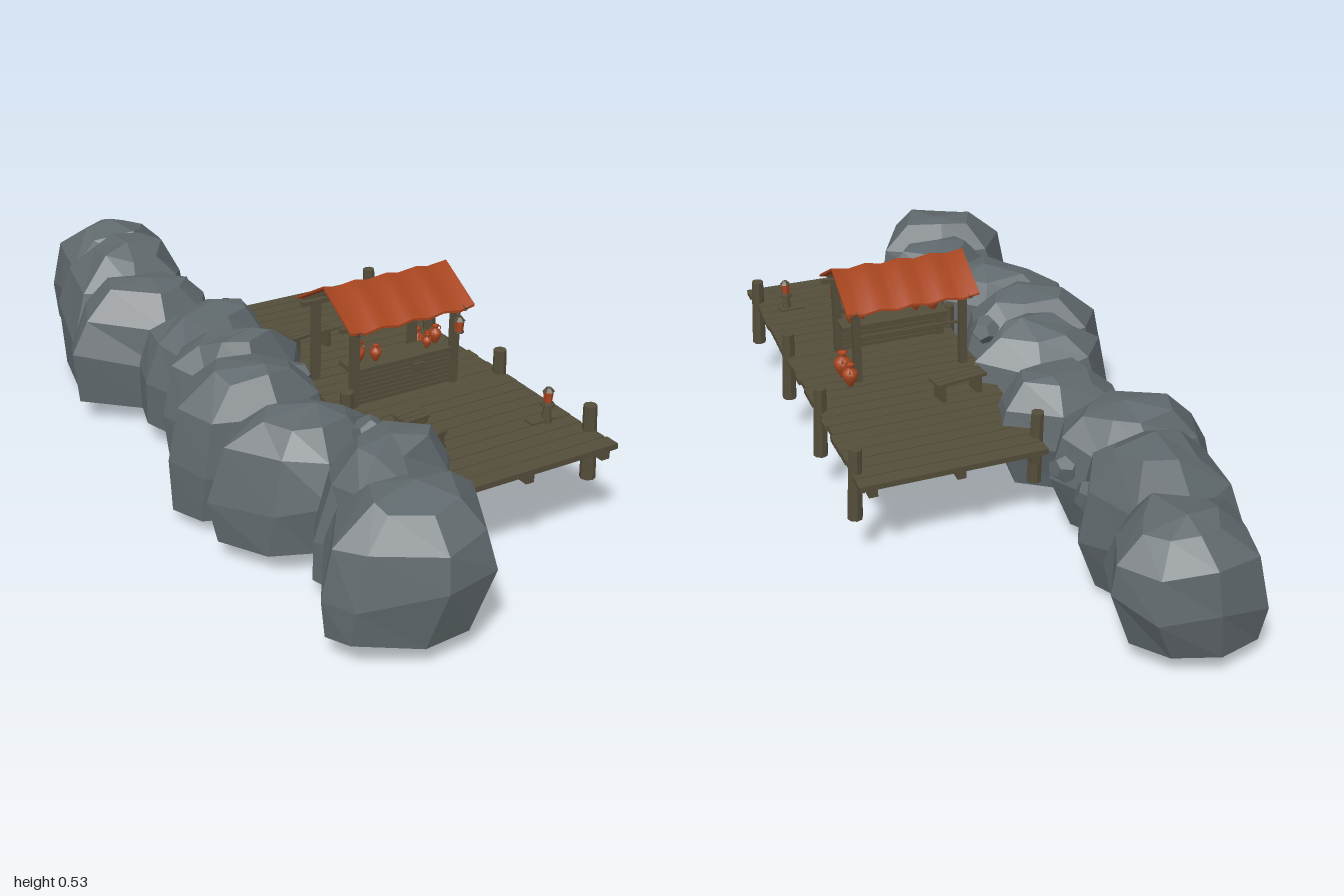
import * as THREE from 'three';

const mat = (name, color) => Object.assign(new THREE.MeshStandardMaterial({ color }), { name });

export function createModel() {
  const root = new THREE.Group();
  root.name = 'rockyDock';
  const stone = mat('stone', 0x5f686c);
  const wood = mat('wood', 0x544d3a);
  const clay = mat('terracotta', 0xa8451f);

  let seed = 7;
  const rnd = () => ((seed = (seed * 16807) % 2147483647) / 2147483647) * 2 - 1;
  const group = (name, parent = root) => {
    const g = new THREE.Group();
    g.name = name;
    parent.add(g);
    return g;
  };
  const add = (parent, name, geo, material, x = 0, y = 0, z = 0) => {
    const m = new THREE.Mesh(geo, material);
    m.name = name;
    m.position.set(x, y, z);
    parent.add(m);
    return m;
  };
  const flat = (geo) => {
    const g = geo.index ? geo.toNonIndexed() : geo;
    g.computeVertexNormals();
    return g;
  };
  const box = (parent, name, w, h, d, x, y, z, m = wood) =>
    add(parent, name, new THREE.BoxGeometry(w, h, d), m, x, y, z);
  const beam = (parent, name, a, b, w) => {
    const p = new THREE.Vector3(...a), q = new THREE.Vector3(...b);
    const m = box(parent, name, w, w, p.distanceTo(q), 0, 0, 0);
    m.position.copy(p).add(q).multiplyScalar(0.5);
    m.lookAt(q);
    return m;
  };

  // Boulders: a plan outline (hundredths) lofted through uneven rings that lean towards the deck
  // Each ring: height, scale, height jitter, x shift
  const rings = [[0.05, 0.83, 0.03, -0.025], [0.42, 1, 0.09, 0], [0.74, 0.86, 0.05, 0.008], [0.94, 0.48, 0.04, 0.015]];
  const boulder = (outline, y0, y1) => {
    const n = outline.length, top = rings.length - 1;
    const cx = outline.reduce((s, p) => s + p[0], 0) / n / 100;
    const cz = outline.reduce((s, p) => s + p[1], 0) / n / 100;
    const h = y1 - y0, pos = [], idx = [];
    for (const [t, s, dy, dx] of rings) {
      for (const [px, pz] of outline) {
        const k = s === 1 ? 1 : s + 0.06 * rnd();
        pos.push(cx + dx + (px / 100 - cx) * k, y0 + h * (t + dy * rnd()), cz + (pz / 100 - cz) * k);
      }
    }
    pos.push(cx - 0.02, y0, cz, cx + 0.02 + 0.03 * rnd(), y1, cz + 0.04 * rnd());
    for (let j = 0; j < n; j++) {
      const k = (j + 1) % n;
      for (let r = 0; r < top; r++) {
        const a = r * n + j, b = r * n + k;
        idx.push(a, a + n, b + n, a, b + n, b);
      }
      idx.push((top + 1) * n, j, k, (top + 1) * n + 1, top * n + k, top * n + j);
    }
    const g = new THREE.BufferGeometry();
    g.setAttribute('position', new THREE.Float32BufferAttribute(pos, 3));
    g.setIndex(idx);
    return flat(g);
  };
  const rocks = group('rocks');
  const rock = (y0, y1, ...outline) => add(rocks, 'boulder', boulder(outline, y0, y1), stone);
  rock(0.05, 0.37, [-29, -86], [-27, -97], [-14, -100], [-1, -97], [5, -87], [1, -75], [-8, -67], [-31, -73]);
  rock(0.0, 0.40, [-34, -74], [-21, -78], [-7, -74], [0, -60], [-6, -48], [-23, -43], [-38, -53]);
  rock(0.04, 0.37, [-44, -38], [-39, -52], [-23, -54], [-10, -51], [-2, -39], [-8, -28], [-23, -24]);
  rock(0.05, 0.355, [-32, -18], [-29, -29], [-10, -31], [4, -22], [2, -11], [-10, -5], [-28, -6]);
  rock(0.04, 0.385, [-36, 1], [-29, -10], [-13, -11], [4, 2], [-2, 11], [-18, 16], [-31, 12]);
  rock(0.01, 0.385, [-43, 19], [-35, 7], [-15, 8], [-3, 20], [-6, 31], [-22, 36], [-39, 30]);
  rock(0.04, 0.365, [-43, 39], [-34, 30], [-13, 30], [-2, 42], [-7, 55], [-23, 60], [-33, 52]);
  rock(0.04, 0.365, [-30, 64], [-23, 53], [-7, 50], [8, 62], [3, 70], [-13, 76], [-26, 73]);
  rock(0.05, 0.36, [-40, 84], [-31, 70], [-16, 71], [2, 78], [-7, 98], [-20, 100], [-36, 91]);
  // Loose stones sunk into the boulders
  for (const [x, y, z, s] of [[-0.05, 0.22, -0.41, 0.04], [-0.05, 0.24, -0.57, 0.05], [-0.08, 0.3, 0.18, 0.04],
    [-0.1, 0.31, 0.53, 0.045], [-0.05, 0.19, 0.2, 0.05]]) {
    const m = add(rocks, 'looseStone', flat(new THREE.DodecahedronGeometry(s)), stone, x, y, z);
    m.rotation.set(rnd(), rnd(), rnd());
    m.scale.set(1, 0.8, 1);
  }

  // Deck planks over long beams
  const deck = group('deck');
  for (let i = 0; i < 27; i++) {
    const w = 0.462 + 0.006 * rnd();
    const p = box(deck, 'plank', w, 0.014, 0.0385 + 0.0015 * rnd(), 0.199 + 0.004 * rnd(), 0.24, -0.336 + i * 0.0412);
    p.rotation.y = 0.004 * rnd();
  }
  for (const x of [0.0, 0.185, 0.4]) box(deck, 'deckBeam', 0.022, 0.02, 1.11, x, 0.224, 0.2);

  // Mooring posts, the outer ones with stout diagonal braces
  const post = (x, z) => {
    const p = add(deck, 'mooringPost', flat(new THREE.CylinderGeometry(0.016, 0.019, 0.19, 8)), wood, x, 0.215, z);
    p.rotation.set(0.03 * rnd(), 0, 0.04);
  };
  for (const z of [-0.285, 0.015, 0.325, 0.67]) {
    post(0.423, z);
    beam(deck, 'brace', [0.413, 0.195, z], [0.385, 0.23, z], 0.02);
  }
  for (const z of [-0.285, 0.335]) post(-0.03, z);

  // Market stall frame
  const stall = group('stall');
  const zc = 0.213;
  for (const z of [0.125, 0.305]) {
    for (const x of [0.005, 0.29]) box(stall, 'stallPost', 0.02, 0.215, 0.018, x, 0.35, z);
    box(stall, 'eaveBeam', 0.36, 0.012, 0.014, 0.145, 0.453, z);
  }
  for (const x of [-0.005, 0.298])
    for (const s of [-1, 1]) beam(stall, 'rafter', [x, 0.513, zc], [x, 0.449, zc + s * 0.124], 0.01);
  box(stall, 'ridgeBeam', 0.34, 0.01, 0.01, 0.145, 0.51, zc);

  // Wavy pitched roof, smooth over the ridge
  const roof = new THREE.BoxGeometry(0.35, 0.006, 0.25, 16, 1, 2);
  const rp = roof.attributes.position;
  for (let i = 0; i < rp.count; i++) {
    const x = rp.getX(i), z = rp.getZ(i);
    const wave = 0.004 * Math.cos(((x + 0.175) / 0.0875) * Math.PI * 2);
    rp.setY(i, rp.getY(i) + 0.523 - Math.abs(z) * 0.57 + wave);
  }
  roof.computeVertexNormals();
  add(stall, 'roof', roof, clay, 0.147, 0, zc);

  // Counter with slatted front and a rail
  for (let i = 0; i < 7; i++) box(stall, 'counterSlat', 0.28, 0.0095, 0.008, 0.148, 0.253 + i * 0.0115, 0.303);
  box(stall, 'counterTop', 0.29, 0.012, 0.07, 0.148, 0.336, 0.275);
  box(stall, 'counterBracket', 0.03, 0.025, 0.012, 0.185, 0.31, 0.308);
  box(stall, 'rail', 0.27, 0.006, 0.006, 0.148, 0.368, 0.125);

  // Two-handled jars
  const profile = [[0, 0], [0.13, 0], [0.16, 0.06], [0.31, 0.35], [0.35, 0.55], [0.28, 0.7], [0.14, 0.8], [0.13, 0.92], [0.22, 1], [0.14, 1], [0, 0.93]];
  const jarGeo = new THREE.LatheGeometry(profile.map((p) => new THREE.Vector2(...p)), 12);
  const handleGeo = new THREE.TorusGeometry(0.13, 0.035, 5, 10);
  const jar = (x, y, z, h, turn = 0) => {
    const g = group('jar');
    add(g, 'jarBody', jarGeo, clay);
    for (const s of [-1, 1]) add(g, 'jarHandle', handleGeo, clay, s * 0.23, 0.78, 0);
    g.position.set(x, y, z);
    g.rotation.y = turn;
    g.scale.setScalar(h);
  };
  jar(0.035, 0.342, 0.27, 0.055);
  jar(0.08, 0.342, 0.28, 0.04);
  jar(0.228, 0.342, 0.28, 0.034);
  jar(0.262, 0.342, 0.265, 0.045);
  jar(0.318, 0.247, 0.165, 0.068, 1.3);
  jar(0.315, 0.247, 0.11, 0.06, 1.3);

  // Lanterns
  const lantern = (x, y, z) => {
    const g = group('lantern');
    add(g, 'lanternGlass', flat(new THREE.CylinderGeometry(0.0125, 0.01, 0.028, 6)), clay, 0, 0.017, 0);
    add(g, 'lanternBase', flat(new THREE.CylinderGeometry(0.012, 0.013, 0.004, 6)), wood, 0, 0.002, 0);
    add(g, 'lanternCap', flat(new THREE.CylinderGeometry(0.006, 0.015, 0.01, 6)), wood, 0, 0.036, 0);
    g.position.set(x, y, z);
  };
  lantern(0.287, 0.388, 0.328);
  beam(stall, 'lanternArm', [0.287, 0.433, 0.305], [0.287, 0.429, 0.332], 0.006);
  lantern(0.358, 0.295, 0.59);

  // Stool under the standing lantern, with a small tray beside it
  const stool = group('stool');
  add(stool, 'stoolSeat', flat(new THREE.CylinderGeometry(0.017, 0.017, 0.006, 8)), wood, 0.358, 0.292, 0.59);
  add(stool, 'stoolLeg', flat(new THREE.CylinderGeometry(0.008, 0.014, 0.043, 8)), wood, 0.358, 0.268, 0.59);
  box(stool, 'tray', 0.07, 0.005, 0.03, 0.345, 0.254, 0.585);

  // Benches near the rocks
  const bench = (x, z, w, angle) => {
    const g = group('bench');
    for (const s of [-1, 0, 1]) box(g, 'benchSlat', w, 0.008, 0.015, 0, 0.05, s * 0.017);
    for (const s of [-1, 1]) box(g, 'benchLeg', 0.012, 0.048, 0.045, s * w * 0.36, 0.024, 0);
    g.position.set(x, 0.246, z);
    g.rotation.y = angle;
  };
  bench(0.075, -0.03, 0.14, 0.15);
  bench(0.045, 0.49, 0.07, 0.1);

  // Crate
  const crate = group('crate');
  box(crate, 'crateBody', 0.045, 0.05, 0.05, 0, 0.025, 0);
  for (const y of [0.008, 0.044]) box(crate, 'crateBand', 0.051, 0.009, 0.056, 0, y, 0);
  crate.position.set(0.045, 0.247, 0.565);
  crate.rotation.y = 0.3;

  return root;
}
